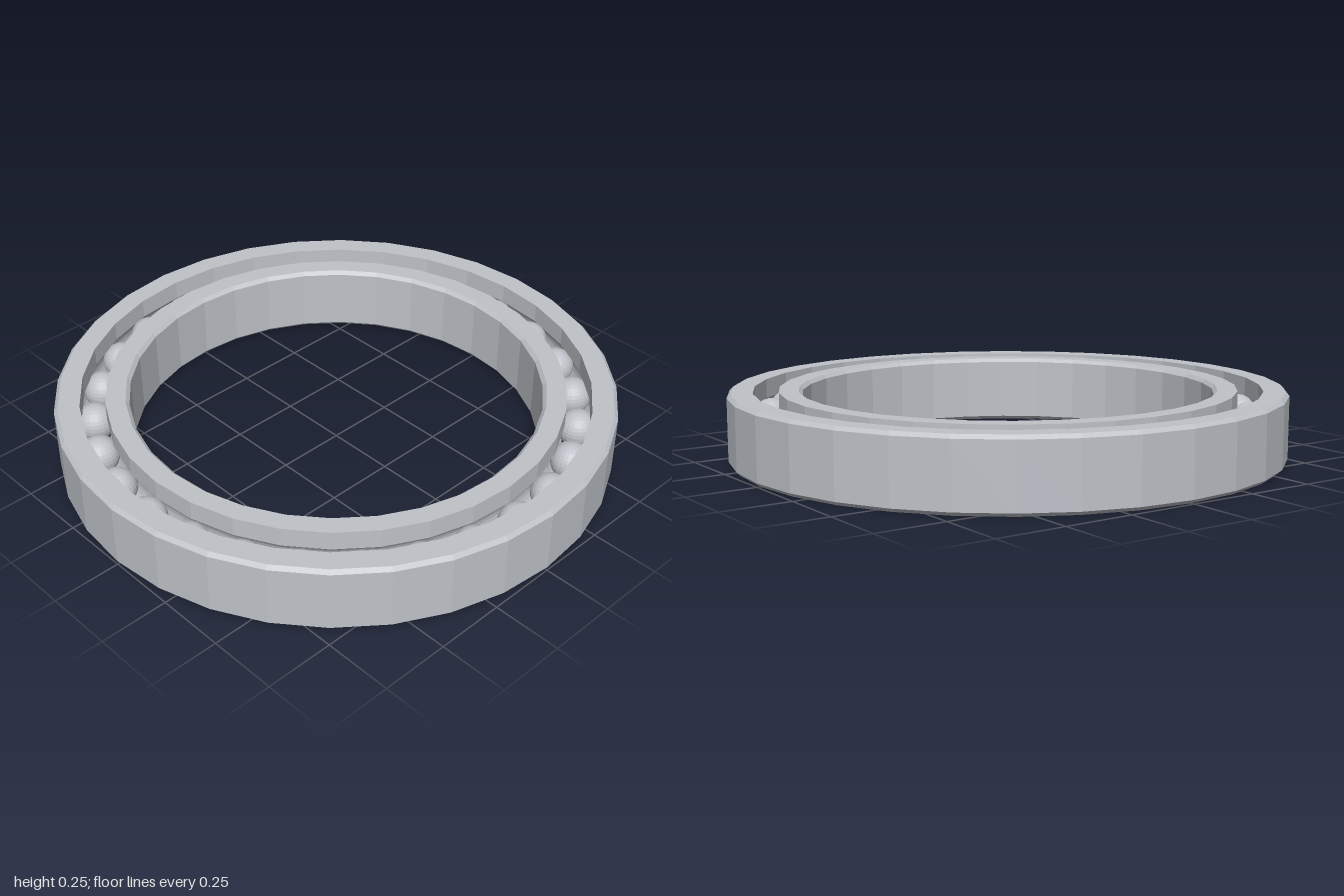
import * as THREE from 'three';

const HEIGHT = 0.25, MID = HEIGHT / 2;
const BALL_COUNT = 28, BALL_R = 0.07, PITCH_R = 0.865;
const SEGMENTS = 32, CHAMFER = 0.013;

// Groove arc for a race wall at radius wallR, from below the middle to above it
function groove(wallR, steps = 8) {
  const r = BALL_R + 0.001;
  const side = Math.sign(wallR - PITCH_R);
  const half = Math.acos(Math.abs(wallR - PITCH_R) / r);
  const pts = [];
  for (let i = 0; i <= steps; i++) {
    const a = -half + (2 * half * i) / steps;
    pts.push([PITCH_R + side * r * Math.cos(a), MID + r * Math.sin(a)]);
  }
  return pts;
}

// Revolves a closed counter-clockwise profile of [radius, y] pairs
function ring(name, profile, material) {
  const pts = [...profile, profile[0]].map(([r, y]) => new THREE.Vector2(r, y));
  const mesh = new THREE.Mesh(new THREE.LatheGeometry(pts, SEGMENTS), material);
  mesh.name = name;
  return mesh;
}

export function createModel() {
  const model = new THREE.Group();
  model.name = 'ballBearing';

  const steel = new THREE.MeshStandardMaterial({ color: 0xbfc3c9 });
  steel.name = 'steel';
  steel.flatShading = true;
  const c = CHAMFER;

  // Outer race: chamfered outside, grooved inside
  const outR = 1, outWall = 0.91;
  model.add(ring('outerRace', [
    [outWall, 0], [outR - c, 0], [outR, c], [outR, HEIGHT - c], [outR - c, HEIGHT],
    [outWall, HEIGHT], ...groove(outWall).reverse(),
  ], steel));

  // Inner race: chamfered bore, grooved outside
  const bore = 0.737, inWall = 0.82;
  model.add(ring('innerRace', [
    [bore + c, 0], [inWall, 0], ...groove(inWall), [inWall, HEIGHT],
    [bore + c, HEIGHT], [bore, HEIGHT - c], [bore, c],
  ], steel));

  // Balls evenly spaced in the races
  const balls = new THREE.Group();
  balls.name = 'balls';
  const ballGeometry = new THREE.SphereGeometry(BALL_R, 24, 16);
  for (let i = 0; i < BALL_COUNT; i++) {
    const a = (i / BALL_COUNT) * Math.PI * 2;
    const ball = new THREE.Mesh(ballGeometry, steel);
    ball.name = 'ball';
    ball.position.set(PITCH_R * Math.sin(a), MID, PITCH_R * Math.cos(a));
    ball.rotation.y = a;
    balls.add(ball);
  }
  model.add(balls);

  return model;
}
